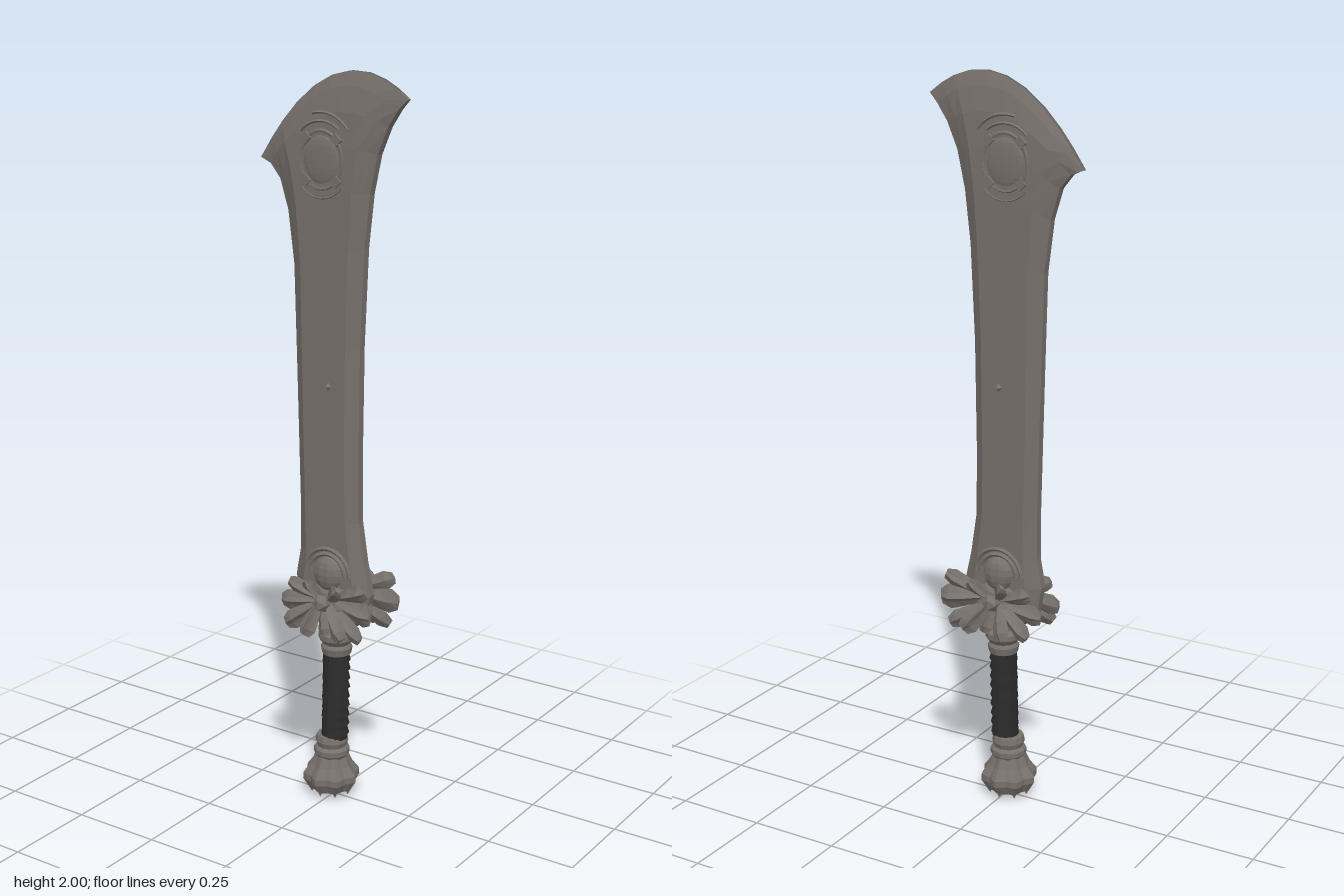
import * as THREE from 'three';

const steel = new THREE.MeshStandardMaterial({ color: 0x77706b, flatShading: true });
steel.name = 'steel';
const leather = new THREE.MeshStandardMaterial({ color: 0x2b2a2a, flatShading: true });
leather.name = 'dark leather';

// closed loft through rings of points, counter-clockwise when seen from the far end
function loft(rings) {
  const n = rings[0].length, pos = [], idx = [];
  rings.forEach(r => r.forEach(p => pos.push(p.x, p.y, p.z)));
  for (let i = 0; i < rings.length - 1; i++) {
    for (let j = 0; j < n; j++) {
      const a = i * n + j, b = i * n + (j + 1) % n;
      idx.push(a, b, b + n, a, b + n, a + n);
    }
  }
  const last = (rings.length - 1) * n;
  for (let j = 1; j < n - 1; j++) {
    idx.push(0, j + 1, j);
    idx.push(last, last + j, last + j + 1);
  }
  const g = new THREE.BufferGeometry();
  g.setAttribute('position', new THREE.Float32BufferAttribute(pos, 3));
  g.setIndex(idx);
  g.computeVertexNormals();
  return g;
}

function add(parent, name, geometry, material, x = 0, y = 0, z = 0) {
  const m = new THREE.Mesh(geometry, material);
  m.name = name;
  m.position.set(x, y, z);
  parent.add(m);
  return m;
}

// blade rows: left x, left y, right x, right y, upward bulge, half thickness
function bladeGeometry() {
  const rows = [
    [-0.10, 0.56, 0.11, 0.56, 0, 0.034],
    [-0.115, 0.64, 0.125, 0.62, 0, 0.034],
    [-0.10, 0.72, 0.105, 0.71, 0, 0.034],
    [-0.10, 0.85, 0.088, 0.82, 0, 0.034],
    [-0.105, 1.05, 0.086, 1.00, 0, 0.034],
    [-0.11, 1.25, 0.09, 1.30, 0, 0.034],
    [-0.117, 1.50, 0.102, 1.56, 0, 0.035],
    [-0.135, 1.64, 0.118, 1.70, 0.02, 0.036],
    [-0.16, 1.72, 0.14, 1.80, 0.045, 0.035],
    [-0.19, 1.757, 0.17, 1.87, 0.08, 0.03],
    [-0.21, 1.766, 0.20, 1.915, 0.115, 0.018],
    [-0.225, 1.77, 0.225, 1.94, 0.136, 0.006],
  ];
  const cols = [0, 0.08, 0.16, 0.26, 0.38, 0.5, 0.62, 0.74, 0.84, 0.92, 1];
  return loft(rows.map(([xl, yl, xr, yr, bulge, th]) => {
    const side = s => cols.map(u => {
      const edge = Math.min(0.011, th), k = Math.min(1, Math.min(u, 1 - u) / 0.16);
      return new THREE.Vector3(xl + (xr - xl) * u,
        yl + (yr - yl) * u + bulge * 4 * u * (1 - u), s * (edge + (th - edge) * k));
    });
    return [...side(-1).reverse(), ...side(1)];
  }));
}

// ridged leaf with a blunt end
function leafGeometry(base, tip, width, thick) {
  const d = tip.clone().sub(base).normalize();
  const n = new THREE.Vector3(0, 0, Math.sign(base.z) || 1);
  n.addScaledVector(d, -n.dot(d)).normalize();
  const side = n.clone().cross(d);
  const profile = [[0, 0.4, 0.6], [0.45, 0.8, 1], [0.8, 1, 0.9], [1, 0.6, 0.3]];
  return loft(profile.map(([t, w, h]) => {
    const c = base.clone().lerp(tip, t);
    return [[1, 0], [0.35, 0.45], [0, 1], [-0.35, 0.45], [-1, 0], [0, -0.6]].map(([a, b]) =>
      c.clone().addScaledVector(side, a * w * width).addScaledVector(n, b * h * thick));
  }));
}

// turned shape with optional lobes
function turned(points, sides, lobes = 0, depth = 0) {
  const g = new THREE.LatheGeometry(points.map(p => new THREE.Vector2(p[0], p[1])), sides);
  const p = g.attributes.position;
  for (let i = 0; lobes && i < p.count; i++) {
    const x = p.getX(i), z = p.getZ(i), r = Math.hypot(x, z);
    const k = 1 + depth * Math.cos(lobes * Math.atan2(z, x)) * Math.min(1, r / 0.08);
    p.setX(i, x * k);
    p.setZ(i, z * k);
  }
  g.computeVertexNormals();
  return g;
}

export function createModel() {
  const model = new THREE.Group();
  model.name = 'broadBladeSword';
  add(model, 'blade', bladeGeometry(), steel);

  for (const s of [1, -1]) {
    // round ornament near the blade tip
    const ornament = new THREE.Group();
    ornament.name = s > 0 ? 'frontOrnament' : 'backOrnament';
    ornament.position.set(-0.015, 1.78, s * 0.034);
    model.add(ornament);
    add(ornament, 'boss', new THREE.SphereGeometry(1, 16, 10), steel).scale.set(0.054, 0.062, 0.008);
    add(ornament, 'ring', new THREE.TorusGeometry(0.064, 0.005, 5, 24), steel).scale.set(1, 1.15, 1);
    for (let i = 0; i < 4; i++) {
      const a = Math.PI / 4 + i * Math.PI / 2;
      const clip = add(ornament, 'clip', new THREE.BoxGeometry(0.022, 0.026, 0.014), steel,
        0.066 * Math.cos(a), 0.075 * Math.sin(a), 0);
      clip.rotation.z = a;
    }
    for (const [r, start, len, y] of [[0.085, 0.9, 1.5, 0.013], [0.1, 0.65, 1.2, 0.02], [0.08, 3.9, 1.7, -0.018]]) {
      add(ornament, 'arc', new THREE.TorusGeometry(r, 0.004, 4, 12, len), steel, 0, y, 0).rotation.z = start;
    }

    // small stud halfway up the blade
    add(model, 'stud', new THREE.OctahedronGeometry(0.013), steel, 0.005, 1.19, s * 0.032);

    // crest where the blade meets the guard
    const crest = new THREE.Group();
    crest.name = s > 0 ? 'frontCrest' : 'backCrest';
    crest.position.set(0.005, 0.67, s * 0.036);
    model.add(crest);
    add(crest, 'crestBoss', new THREE.SphereGeometry(1, 10, 8), steel).scale.set(0.045, 0.048, 0.024);
    for (const r of [0.055, 0.07]) {
      add(crest, 'crestArc', new THREE.TorusGeometry(r, 0.006, 4, 14, Math.PI), steel);
    }

    // guard leaves: base x, y, z, tip x, y, z, half width, thickness
    const leaves = [
      [-0.02, 0.59, 0.045, -0.135, 0.57, 0.05, 0.030, 0.022],
      [-0.02, 0.58, 0.050, -0.105, 0.515, 0.075, 0.028, 0.022],
      [-0.01, 0.59, 0.055, -0.035, 0.50, 0.090, 0.026, 0.020],
      [0.01, 0.59, 0.055, 0.025, 0.51, 0.080, 0.022, 0.020],
      [0.02, 0.59, 0.055, 0.085, 0.51, 0.090, 0.030, 0.022],
      [0.03, 0.58, 0.045, 0.135, 0.515, 0.075, 0.026, 0.022],
      [0.05, 0.60, 0.045, 0.165, 0.585, 0.070, 0.036, 0.028],
      [0.04, 0.61, 0.045, 0.150, 0.655, 0.070, 0.026, 0.024],
      [-0.01, 0.60, 0.045, -0.105, 0.635, 0.060, 0.024, 0.022],
      [0.00, 0.60, 0.050, -0.035, 0.655, 0.085, 0.022, 0.018],
      [0.02, 0.60, 0.050, 0.070, 0.650, 0.085, 0.024, 0.018],
    ];
    for (const [bx, by, bz, tx, ty, tz, w, h] of leaves) {
      add(model, 'guardLeaf', leafGeometry(new THREE.Vector3(bx, by, s * bz),
        new THREE.Vector3(tx, ty, s * tz), w, h), steel);
    }
    add(model, 'guardKnot', new THREE.IcosahedronGeometry(0.026, 0), steel, 0.008, 0.595, s * 0.07);
  }

  // guard core and upper collar
  add(model, 'guardCore', new THREE.SphereGeometry(1, 10, 6), steel, 0.01, 0.58, 0).scale.set(0.115, 0.075, 0.062);
  add(model, 'upperCollar', turned([[0, 0.43], [0.04, 0.43], [0.044, 0.45], [0.038, 0.46], [0.05, 0.475],
    [0.05, 0.49], [0.036, 0.5], [0.04, 0.54], [0, 0.54]], 12), steel, 0.01);

  // grip with a slanted wrap
  add(model, 'gripCore', new THREE.CylinderGeometry(0.034, 0.034, 0.27, 12), leather, 0.006, 0.31, 0);
  for (let i = 0; i < 9; i++) {
    const wrap = add(model, 'gripWrap', new THREE.CylinderGeometry(0.034, 0.039, 0.028, 12), leather,
      0.004 + i * 0.0006, 0.2 + i * 0.0275, 0);
    wrap.rotation.z = i % 2 ? 0.14 : 0.08;
  }

  // lower collar and lobed pommel
  add(model, 'lowerCollar', turned([[0, 0.115], [0.042, 0.115], [0.05, 0.128], [0.05, 0.142], [0.041, 0.15],
    [0.046, 0.165], [0.042, 0.182], [0, 0.182]], 12), steel, -0.006);
  add(model, 'pommel', turned([[0, 0], [0.03, 0.008], [0.058, 0.022], [0.074, 0.05], [0.074, 0.068],
    [0.056, 0.095], [0.044, 0.125], [0, 0.125]], 32, 8, 0.09), steel, -0.008);
  for (let i = 0; i < 8; i++) {
    const a = i * Math.PI / 4;
    const lobe = add(model, 'pommelLobe', new THREE.OctahedronGeometry(1), steel,
      -0.008 + 0.055 * Math.cos(a), 0.052, 0.055 * Math.sin(a));
    lobe.scale.set(0.026, 0.044, 0.022);
    lobe.rotation.y = -a;
  }
  return model;
}
